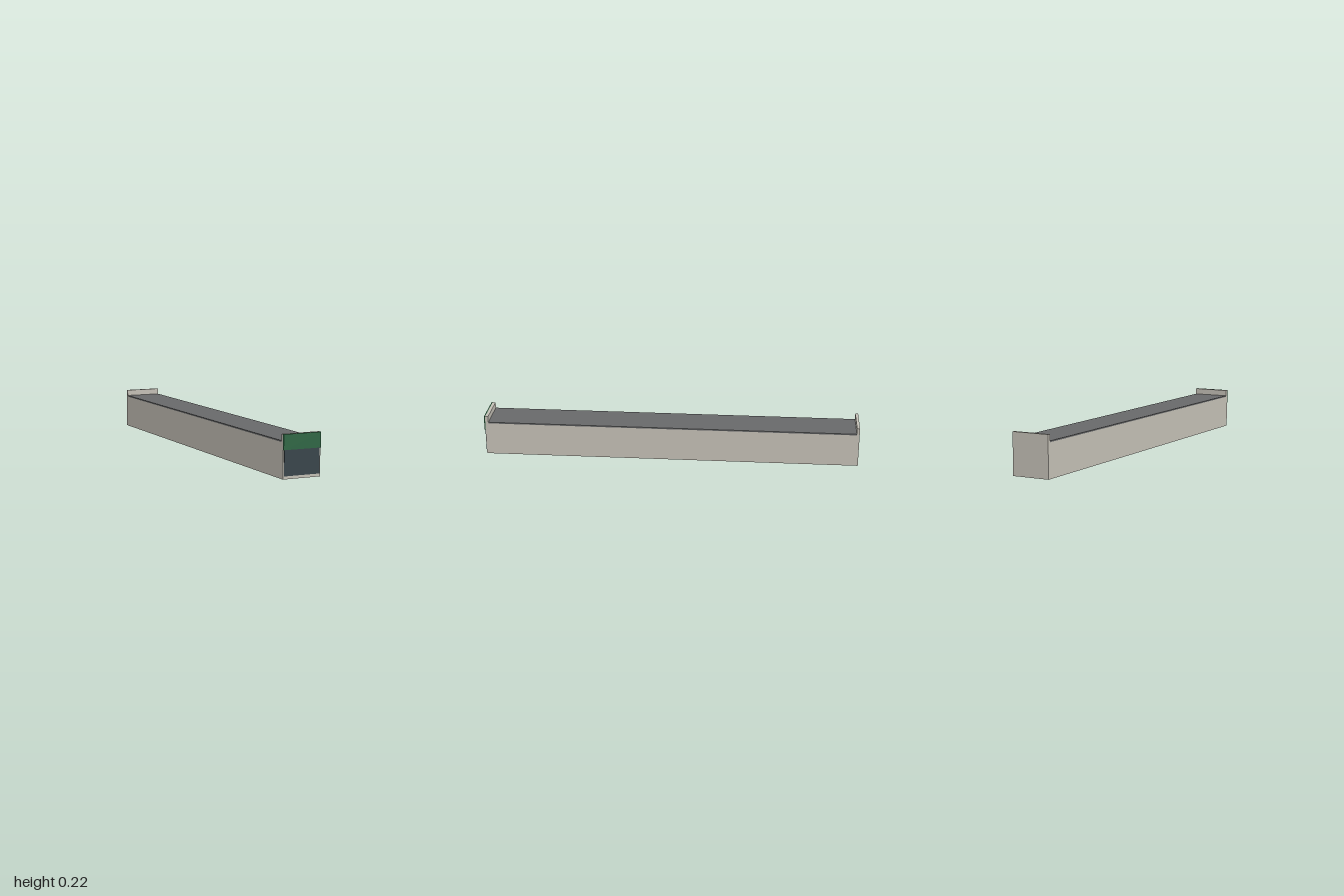
import * as THREE from 'three';

const mat = (name, color) => {
  const m = new THREE.MeshStandardMaterial({ color });
  m.name = name;
  return m;
};

export function createModel() {
  const wall = mat('warm grey wall', 0xc3bfb5);
  const roofing = mat('dark grey roofing', 0x68696a);
  const glass = mat('dark slate glass', 0x38444a);
  const green = mat('sign green', 0x2f6644);

  const model = new THREE.Group();
  model.name = 'longShopUnit';

  // Box given by its min and max corners
  const box = (name, material, [x0, y0, z0], [x1, y1, z1]) => {
    const mesh = new THREE.Mesh(new THREE.BoxGeometry(x1 - x0, y1 - y0, z1 - z0), material);
    mesh.position.set((x0 + x1) / 2, (y0 + y1) / 2, (z0 + z1) / 2);
    mesh.name = name;
    model.add(mesh);
  };

  // Long plain body with a thin flat roof
  box('body', wall, [-0.1, 0, -1], [0.1, 0.176, 0.994]);
  box('roof', roofing, [-0.1, 0.176, -0.985], [0.1, 0.183, 0.978]);

  // Raised parapets at both ends
  box('frontParapet', wall, [-0.1, 0.176, 0.978], [0.1, 0.215, 0.994]);
  box('backParapet', wall, [-0.1, 0.176, -1], [0.1, 0.215, -0.985]);

  // Shop front: glazing below a full-width fascia board
  box('shopWindow', glass, [-0.095, 0.015, 0.994], [0.095, 0.141, 0.997]);
  box('fasciaBoard', green, [-0.1, 0.14, 0.994], [0.1, 0.215, 1]);

  return model;
}
